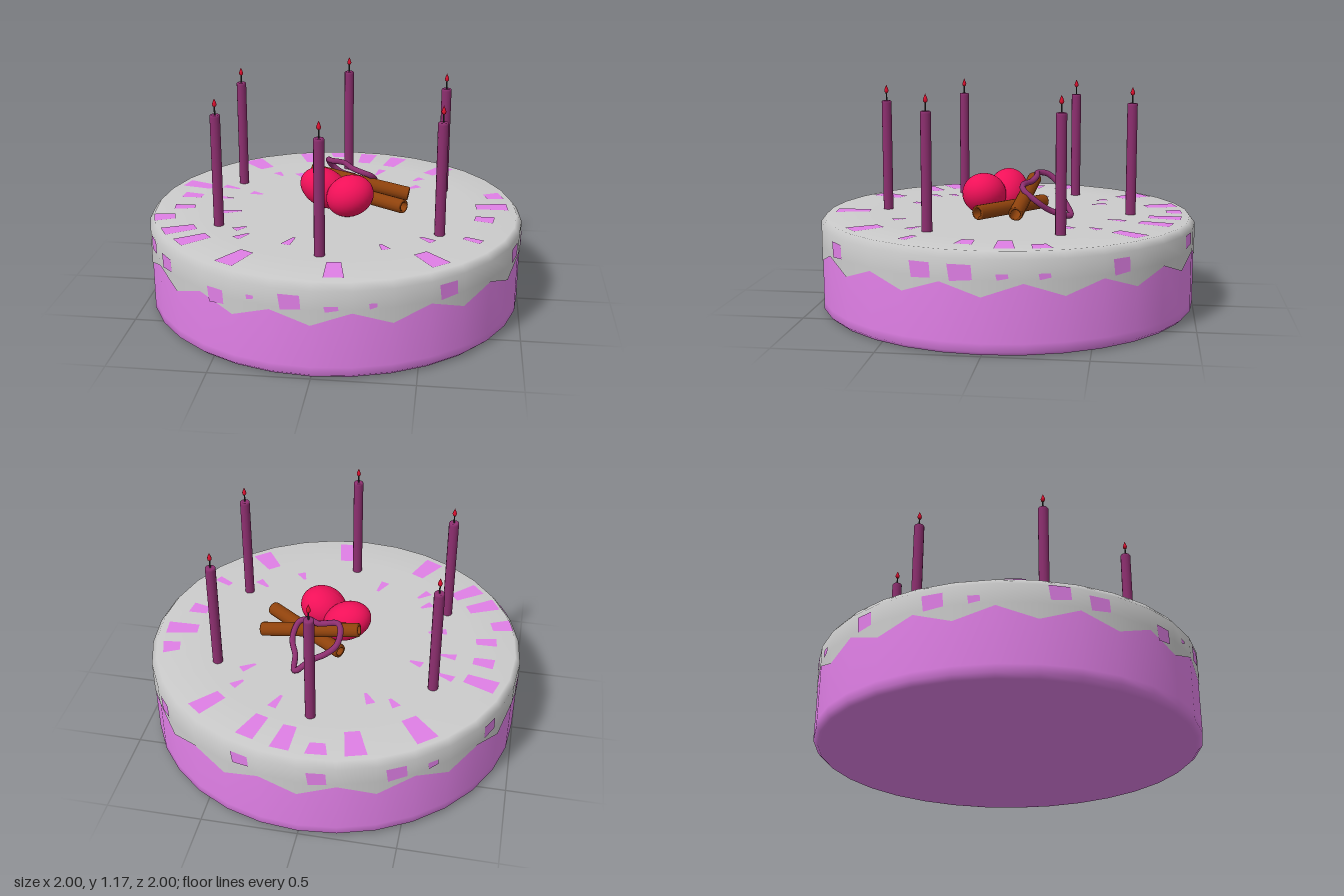
import * as THREE from 'three';

const SIDES = 32, STEP = Math.PI * 2 / SIDES, TOP = 0.49;
const mat = (color, side = THREE.FrontSide) => new THREE.MeshStandardMaterial({ color, side });
const pink = mat(0xe07fe6), pinkPatch = mat(0xe07fe6, THREE.DoubleSide);
const icingMat = mat(0xcccccc, THREE.DoubleSide), wax = mat(0x8e2f70), red = mat(0xe01030);
const fruitMat = mat(0xf01058), bark = mat(0x8f420c, THREE.DoubleSide), wickMat = mat(0x333333);

function add(parent, name, geometry, material, x = 0, y = 0, z = 0) {
  const mesh = new THREE.Mesh(geometry, material);
  mesh.name = name;
  mesh.position.set(x, y, z);
  parent.add(mesh);
  return mesh;
}
const lathe = (pts, n) => new THREE.LatheGeometry(pts.map(p => new THREE.Vector2(...p)), n);

// Quad from four corners
function quad(corners) {
  const g = new THREE.BufferGeometry();
  g.setAttribute('position', new THREE.Float32BufferAttribute(corners.flat(), 3));
  g.setIndex([0, 1, 2, 0, 2, 3]);
  g.computeVertexNormals();
  return g;
}

// Radial patch on the top: centre x, z, radial length, outer width, inner width
function topPatch(parent, x, z, length, outer, inner) {
  const r = Math.hypot(x, z), ux = x / r, uz = z / r;
  const at = (d, w) => [x + ux * d - uz * w, TOP + 0.003, z + uz * d + ux * w];
  const h = length / 2;
  add(parent, 'topPatch', quad([at(h, -outer / 2), at(-h, -inner / 2), at(-h, inner / 2), at(h, outer / 2)]), pinkPatch);
}

// Patch lying in one facet of the side wall
function sidePatch(parent, k, width, y0, y1) {
  const a = (k + 0.5) * STEP, r = Math.cos(STEP / 2) + 0.004;
  const at = (w, y) => [Math.sin(a) * r + Math.cos(a) * w, y, Math.cos(a) * r - Math.sin(a) * w];
  const h = width / 2;
  add(parent, 'sidePatch', quad([at(-h * 0.8, y0), at(h, y0 + 0.01), at(h * 0.9, y1), at(-h, y1)]), pinkPatch);
}

// Hollow rolled stick between two points
function stick(parent, from, to) {
  const a = new THREE.Vector3(...from), b = new THREE.Vector3(...to);
  const h = a.distanceTo(b) / 2, r = 0.038, i = 0.024;
  const g = lathe([[i, -h], [r - 0.003, -h], [r, -h + 0.006], [r, h - 0.006], [r - 0.003, h], [i, h], [i, -h]], 14);
  const m = add(parent, 'cinnamonStick', g, bark);
  m.position.copy(a).add(b).multiplyScalar(0.5);
  m.quaternion.setFromUnitVectors(new THREE.Vector3(0, 1, 0), b.sub(a).normalize());
}

// Rounded berry, leaning sideways towards its base
function berry(parent, x, y, z, rx, ry, rz, lean) {
  const g = new THREE.SphereGeometry(1, 28, 20), p = g.attributes.position;
  for (let i = 0; i < p.count; i++) {
    const px = p.getX(i), py = p.getY(i), pz = p.getZ(i);
    p.setXYZ(i, (px - lean * py) * rx, py * ry * (1 + 0.12 * lean * px), pz * rz);
  }
  g.computeVertexNormals();
  add(parent, 'berry', g, fruitMat, x, y, z);
}

export function createModel() {
  const model = new THREE.Group();
  model.name = 'birthdayCake';

  // Sponge body
  add(model, 'cakeBody', lathe([[0, 0], [0.96, 0], [0.975, 0], [0.997, 0.02],
    [0.997, 0.06], [0.997, 0.36], [0.98, 0.44]], SIDES), pink);

  // Icing with a zigzag hem
  const profile = [[1, 0.28], [1, 0.36], [1, 0.455], [0.972, TOP], [0.72, TOP], [0.6, TOP], [0, TOP]];
  const icing = lathe(profile, SIDES), p = icing.attributes.position;
  for (let i = 1; i <= SIDES; i += 2) p.setY(i * profile.length, 0.345);
  add(model, 'icing', icing, icingMat);

  // Large patches round the rim of the top: x, z, length, width
  const patches = new THREE.Group();
  patches.name = 'icingPatches';
  model.add(patches);
  [[-0.25, -0.82, 0.17, 0.11], [-0.08, -0.89, 0.08, 0.11], [0.09, -0.84, 0.17, 0.1], [0.26, -0.79, 0.17, 0.1],
    [0.53, -0.66, 0.17, 0.1], [-0.54, -0.66, 0.18, 0.12], [-0.81, -0.25, 0.17, 0.1], [-0.81, -0.08, 0.11, 0.08],
    [0.85, -0.26, 0.09, 0.1], [0.84, -0.09, 0.17, 0.1], [0.8, 0.1, 0.1, 0.09], [-0.81, 0.1, 0.11, 0.07],
    [-0.88, 0.26, 0.11, 0.1], [-0.76, 0.42, 0.17, 0.1], [-0.66, 0.54, 0.17, 0.1], [-0.4, 0.74, 0.18, 0.11],
    [0.09, 0.83, 0.18, 0.1], [0.54, 0.65, 0.17, 0.11], [0.74, 0.39, 0.1, 0.05]]
    .forEach(([x, z, l, w]) => topPatch(patches, x, z, l, w, w * 0.7));

  // Small slivers nearer the middle
  [[-0.39, -0.49], [-0.26, -0.48], [0.19, -0.59], [0.42, -0.49], [0.4, -0.35], [-0.62, -0.23], [-0.46, -0.15],
    [-0.62, -0.06], [-0.54, 0.14], [-0.45, 0.37], [-0.42, 0.47], [-0.17, 0.51], [0.3, 0.53], [0.51, 0.41]]
    .forEach(([x, z], i) => topPatch(patches, x, z, 0.07 + (i % 3) * 0.015, 0.05, 0.015));

  // Patches on the side wall: facet, width, bottom, top
  [[-6, 0.11, 0.38, 0.455], [-5, 0.11, 0.355, 0.43], [-3, 0.1, 0.31, 0.39], [-2, 0.04, 0.375, 0.4],
    [-1, 0.11, 0.35, 0.43], [0, 0.07, 0.35, 0.38], [1, 0.04, 0.36, 0.39], [3, 0.11, 0.35, 0.43],
    [6, 0.11, 0.35, 0.43], [7, 0.12, 0.35, 0.43], [8, 0.06, 0.36, 0.39], [9, 0.06, 0.36, 0.39],
    [11, 0.1, 0.35, 0.43], [14, 0.1, 0.38, 0.45], [16, 0.1, 0.35, 0.43], [18, 0.11, 0.35, 0.43],
    [19, 0.06, 0.36, 0.4], [21, 0.1, 0.35, 0.43], [23, 0.11, 0.35, 0.43], [24, 0.06, 0.36, 0.4]]
    .forEach(s => sidePatch(patches, ...s));

  // Six candles
  for (let i = 0; i < 6; i++) {
    const a = i * Math.PI / 3, candle = new THREE.Group();
    candle.name = 'candle';
    candle.position.set(Math.sin(a) * 0.66, 0, Math.cos(a) * 0.66);
    model.add(candle);
    add(candle, 'candleStick', lathe([[0.027, 0.475], [0.027, 0.5], [0.027, 1.07], [0.027, 1.078],
      [0.024, 1.083], [0.02, 1.083], [0, 1.083]], 12), wax);
    add(candle, 'wick', new THREE.CylinderGeometry(0.004, 0.004, 0.06, 6), wickMat, 0, 1.11, 0);
    add(candle, 'flame', lathe([[0, 1.122], [0.009, 1.127], [0.012, 1.137], [0.007, 1.152], [0, 1.168]], 8), red);
  }

  // Topping in the middle
  const topping = new THREE.Group();
  topping.name = 'topping';
  model.add(topping);
  berry(topping, -0.06, 0.6, 0.005, 0.127, 0.112, 0.107, 0.25);
  berry(topping, 0.09, 0.6, 0.115, 0.125, 0.112, 0.117, -0.12);
  stick(topping, [-0.15, 0.65, -0.13], [0.39, 0.55, -0.088]);
  stick(topping, [-0.06, 0.54, -0.19], [0.375, 0.55, 0.11]);

  // Curled vine, leaning down to the back
  const path = [[-0.055, 0.64, -0.27], [0, 0.59, -0.29], [0.07, 0.56, -0.315], [0.15, 0.505, -0.35],
    [0.17, 0.53, -0.25], [0.2, 0.58, -0.18], [0.18, 0.64, -0.105], [0.13, 0.66, -0.1],
    [0.07, 0.67, -0.14], [0.03, 0.69, -0.16], [-0.04, 0.7, -0.16], [-0.065, 0.69, -0.21]];
  const curve = new THREE.CatmullRomCurve3(path.map(q => new THREE.Vector3(...q)), true);
  add(topping, 'vine', new THREE.TubeGeometry(curve, 72, 0.016, 8, true), wax);

  return model;
}
